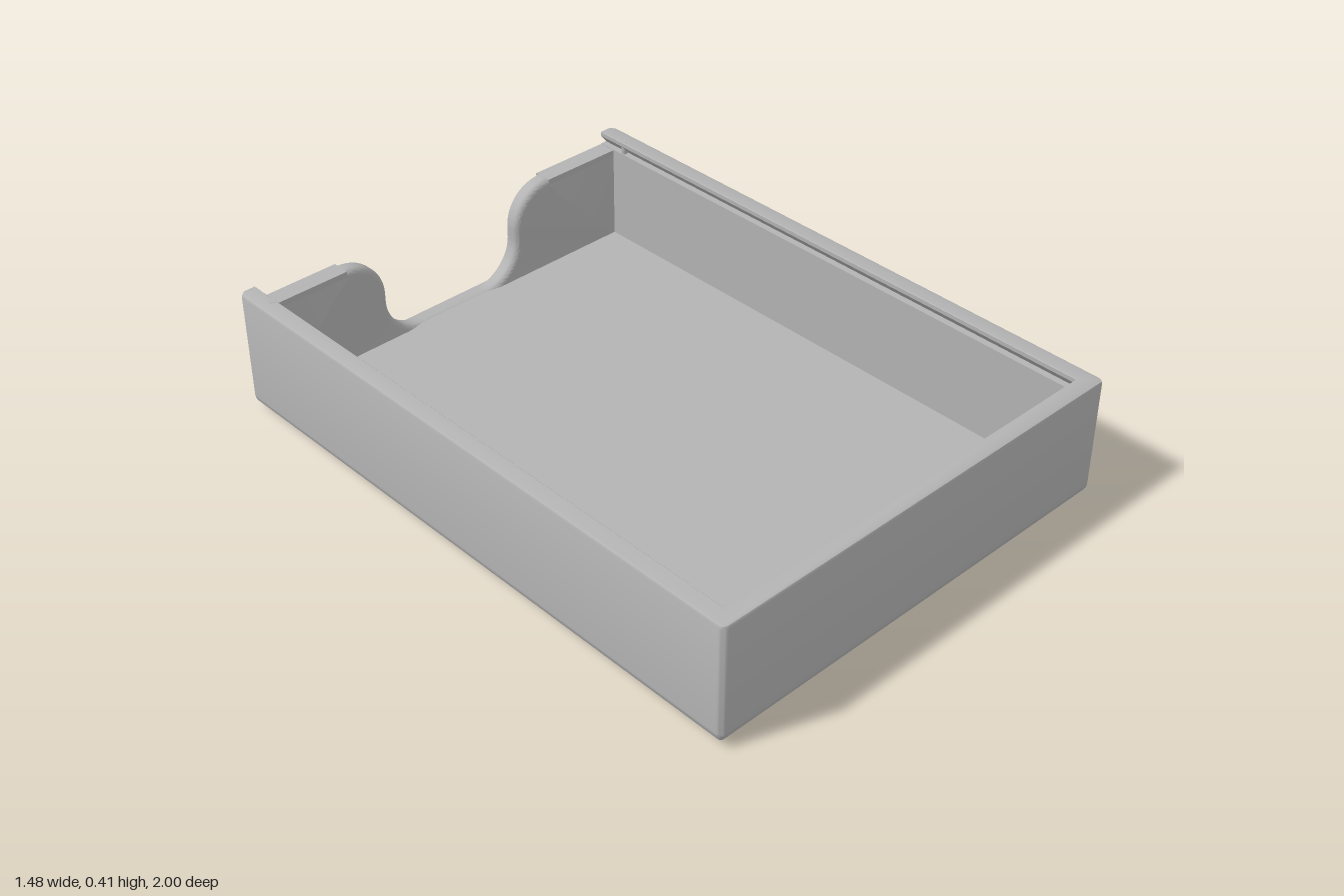
import * as THREE from 'three';
import { toCreasedNormals } from 'three/addons/utils/BufferGeometryUtils.js';

const W = 0.74, D = 1, R = 0.02;      // half width, half depth, corner radius
const FLOOR = 0.048, LEDGE = 0.362, TOP = 0.405, T = 0.057;

// Rounded corner points: sx, sz pick the corner, a0 is the start angle in the xz plane
function corner(d, sx, sz, a0, y) {
  const r = Math.max(R - d, 0), pts = [];
  for (let k = 0; k <= 6; k++) {
    const a = a0 + (k / 6) * Math.PI / 2;
    pts.push([sx * (W - d - r) + r * Math.cos(a), y, sz * (D - d - r) + r * Math.sin(a)]);
  }
  return pts;
}

// Closed rounded rectangle, inset by d
const ring = (d, y) => [
  ...corner(d, 1, -1, -Math.PI / 2, y), ...corner(d, 1, 1, 0, y),
  ...corner(d, -1, 1, Math.PI / 2, y), ...corner(d, -1, -1, Math.PI, y),
];

// Open U path along both sides and the front, with ends flush at the back
function uPath(d, y) {
  const r = Math.max(R - d, 0), end = [];
  for (let k = 0; k <= 6; k++) {
    const a = (k / 6) * Math.PI / 2;
    end.push([W - d - r + r * Math.sin(a), y, -D + R - R * Math.cos(a)]);
  }
  const mirrored = end.map(([x, yy, z]) => [-x, yy, z]).reverse();
  return [...end, ...corner(d, 1, 1, 0, y), ...corner(d, -1, 1, Math.PI / 2, y), ...mirrored];
}

// Skin between successive rows of points
function loft(rows, closePath) {
  const n = rows[0].length, idx = [];
  for (let j = 0; j < rows.length - 1; j++) {
    for (let i = 0; i < (closePath ? n : n - 1); i++) {
      const a = j * n + i, b = j * n + (i + 1) % n;
      idx.push(a, a + n, b, b, a + n, b + n);
    }
  }
  const g = new THREE.BufferGeometry();
  g.setAttribute('position', new THREE.Float32BufferAttribute(rows.flat(2), 3));
  g.setIndex(idx);
  return toCreasedNormals(g, 0.6);
}

export function createModel() {
  const model = new THREE.Group();
  const grey = new THREE.MeshStandardMaterial({ color: 0xb3b3b3 });
  grey.name = 'grey plastic';
  const add = (name, geo, x = 0, y = 0, z = 0) => {
    const m = new THREE.Mesh(geo, grey);
    m.name = name;
    m.position.set(x, y, z);
    model.add(m);
    return m;
  };

  // Floor slab with a rounded lower edge
  const y0 = 0.003;
  const center = (y) => ring(0, y).map(() => [0, y, 0]);
  const baseRows = [center(y0)];
  for (let k = 0; k <= 8; k++) {
    const a = (k / 8) * Math.PI / 2;
    baseRows.push(ring(0.06 * (1 - Math.sin(a)), FLOOR - (FLOOR - y0) * Math.cos(a)));
  }
  baseRows.push(center(FLOOR));
  add('floor', loft(baseRows, true));

  // Side and front walls: [inset, height] section with a dovetail lid groove
  const section = [
    [0, FLOOR], [0, 0.394], [0.003, 0.402], [0.011, TOP], [T - 0.002, TOP], [T, 0.403],
    [T, 0.39], [0.035, LEDGE], [T, LEDGE], [T, FLOOR], [0, FLOOR],
  ];
  add('walls', loft(section.map(([d, y]) => uPath(d, y)), false));

  // Flat ends of the side walls at the back
  for (const s of [1, -1]) {
    const end = new THREE.Shape(section.slice(0, -1).map(
      ([d, y]) => new THREE.Vector2(s * (W - Math.max(d, R)), y)));
    add('wallEnd', new THREE.ShapeGeometry(end), 0, 0, -D).rotation.y = Math.PI;
  }

  // Back wall with a deep rounded finger scoop
  const H = 0.36, b = 0.02, r = 0.14, X = 0.715, lip = 0.05;
  const back = new THREE.Shape();
  back.moveTo(-X, 0.006);
  back.lineTo(X, 0.006);
  back.lineTo(X, H);
  back.lineTo(0.4, H);
  back.absarc(0.4, H - r, r, Math.PI / 2, Math.PI, false);
  back.absarc(0.12, lip + r, r, 0, -Math.PI / 2, true);
  back.absarc(-0.12, lip + r, r, -Math.PI / 2, -Math.PI, true);
  back.absarc(-0.4, H - r, r, 0, Math.PI / 2, false);
  back.lineTo(-X, H);
  back.closePath();
  const backGeo = new THREE.ExtrudeGeometry(back, {
    depth: 0.06 - 2 * b, bevelEnabled: true, bevelThickness: b, bevelSize: b,
    bevelOffset: -b, bevelSegments: 5, curveSegments: 16,
  });
  add('backWall', toCreasedNormals(backGeo, 0.6), 0, 0, -D + b);

  for (const s of [1, -1]) {
    // Square-edged lid ledge either side of the scoop
    add('backLedge', new THREE.BoxGeometry(0.29, 0.05, 0.06), s * 0.545, H - 0.025, -D + 0.03);
    // Lid catch in the groove
    add('lidCatch', new THREE.CylinderGeometry(0.01, 0.01, 0.044, 16), s * 0.695, 0.3835, -0.9);
    // Foot pads: two by two low pyramids under each corner
    for (const t of [1, -1]) {
      for (const [i, k] of [[-1, -1], [-1, 1], [1, -1], [1, 1]]) {
        const pad = new THREE.CylinderGeometry(0.045, 0, 0.003, 4).toNonIndexed();
        pad.rotateY(Math.PI / 4);
        pad.computeVertexNormals();
        add('footPad', pad, s * 0.54 + i * 0.037, 0.0015, t * 0.79 + k * 0.037);
      }
    }
  }
  return model;
}
